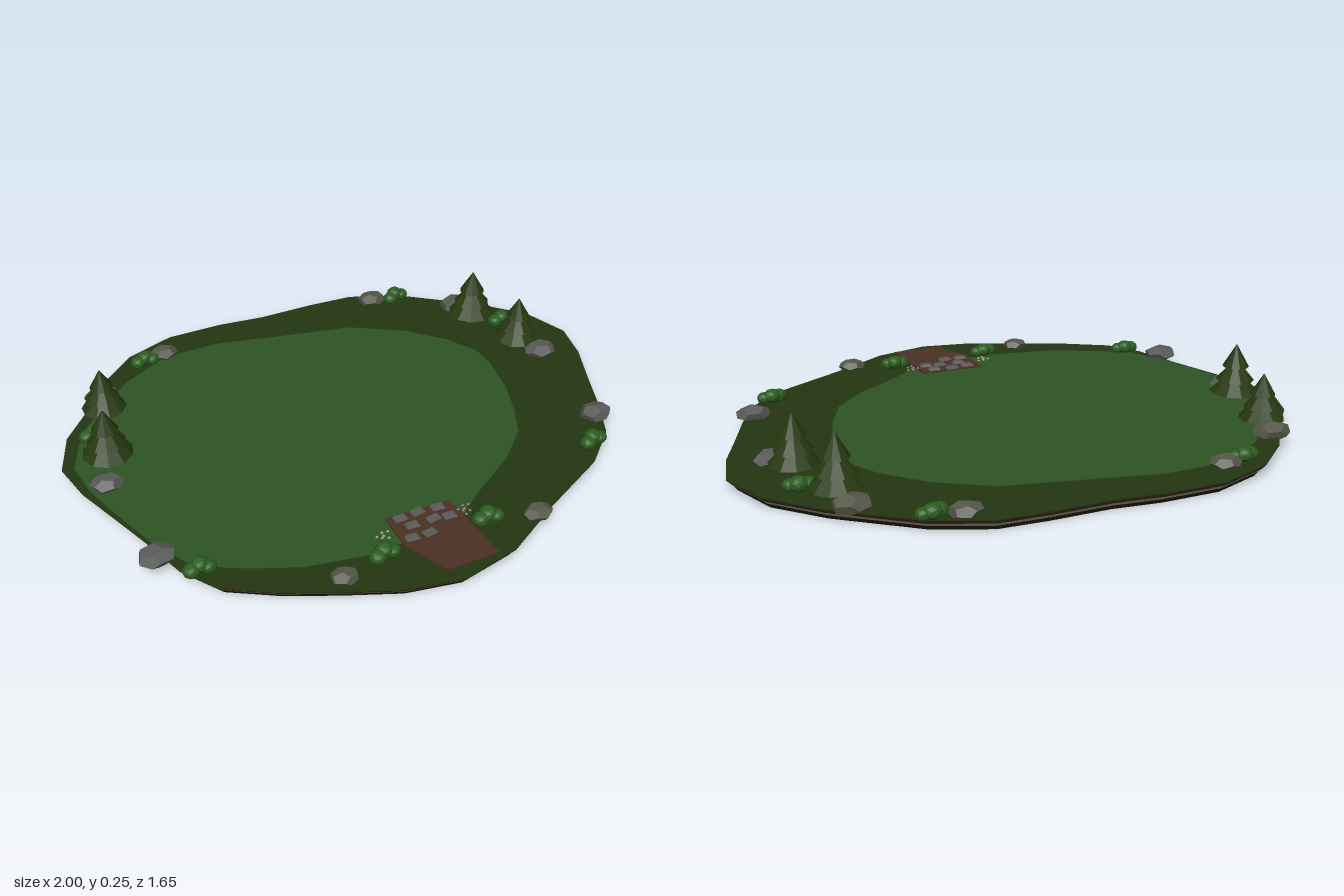
import * as THREE from 'three';

const mat = (name, color) => {
  const m = new THREE.MeshStandardMaterial({ color, flatShading: true });
  m.name = name;
  return m;
};

export function createModel() {
  const model = new THREE.Group();
  model.name = 'islandClearing';
  const M = {
    meadow: mat('meadowGreen', 0x2d5425),
    forest: mat('forestFloorGreen', 0x243611),
    soil: mat('soilBrown', 0x4a3224),
    sand: mat('sandstoneCream', 0xa89a80),
    bedrock: mat('bedrockDark', 0x1c1a10),
    pine: mat('pineGreen', 0x26380f),
    leaf: mat('bushGreen', 0x2a5c1e),
    rock: mat('rockGrey', 0x5a5a58),
    mossRock: mat('mossyRockGrey', 0x56584a),
    blossom: mat('blossomPink', 0x9a7078),
  };
  const add = (parent, name, geo, material, x = 0, y = 0, z = 0) => {
    const mesh = new THREE.Mesh(geo, material);
    mesh.name = name;
    mesh.position.set(x, y, z);
    parent.add(mesh);
    return mesh;
  };
  const group = (name, x, y, z) => {
    const g = new THREE.Group();
    g.name = name;
    g.position.set(x, y, z);
    model.add(g);
    return g;
  };

  // Shoreline and meadow outlines, as x, z pairs
  const shore = [[-0.41, -0.83], [-0.2, -0.83], [-0.03, -0.81], [0.18, -0.81], [0.35, -0.8], [0.54, -0.72],
    [0.79, -0.53], [0.935, -0.38], [1, -0.21], [0.97, -0.06], [0.91, 0.09], [0.845, 0.26], [0.78, 0.4],
    [0.65, 0.52], [0.4, 0.65], [0.18, 0.78], [-0.02, 0.825], [-0.21, 0.79], [-0.4, 0.71], [-0.57, 0.63],
    [-0.72, 0.54], [-0.8, 0.42], [-0.855, 0.25], [-0.91, 0.1], [-0.97, -0.06], [-1, -0.21], [-0.94, -0.37],
    [-0.83, -0.5], [-0.73, -0.64], [-0.59, -0.765]];
  const clearing = [[-0.26, -0.705], [-0.02, -0.65], [0.25, -0.59], [0.43, -0.48], [0.555, -0.35], [0.62, -0.235],
    [0.625, -0.14], [0.6, 0.015], [0.555, 0.15], [0.5, 0.27], [0.385, 0.38], [0.2, 0.5], [0.11, 0.57],
    [-0.07, 0.6], [-0.235, 0.61], [-0.45, 0.57], [-0.61, 0.5], [-0.755, 0.42], [-0.84, 0.26], [-0.9, 0.085],
    [-0.945, -0.06], [-0.96, -0.2], [-0.9, -0.34], [-0.8, -0.47], [-0.66, -0.6], [-0.5, -0.69], [-0.4, -0.705]];
  const path = [[-0.13, 0.485], [0.1, 0.49], [0.11, 0.62], [0.12, 0.775], [-0.06, 0.775], [-0.13, 0.62]];

  // Flat slab with its top facing up
  const slab = (pts, depth) => new THREE.ExtrudeGeometry(
    new THREE.Shape(pts.map(([x, z]) => new THREE.Vector2(x, -z))), { depth, bevelEnabled: false },
  ).rotateX(-Math.PI / 2);

  // Sloping band around the shoreline between two heights and scales
  const band = (s0, y0, s1, y1) => {
    const pos = [], index = [], n = shore.length;
    shore.forEach(([x, z]) => pos.push(x * s0, y0, z * s0, x * s1, y1, z * s1));
    for (let i = 0; i < n; i++) {
      const a = 2 * i, b = 2 * ((i + 1) % n);
      index.push(a, a + 1, b, b, a + 1, b + 1);
    }
    const g = new THREE.BufferGeometry();
    g.setAttribute('position', new THREE.Float32BufferAttribute(pos, 3));
    g.setIndex(index);
    g.computeVertexNormals();
    return g;
  };

  // Ground layers from the bottom up
  const under = new THREE.Shape(shore.map(([x, z]) => new THREE.Vector2(x * 0.965, z * 0.965)));
  add(model, 'underside', new THREE.ShapeGeometry(under).rotateX(Math.PI / 2), M.bedrock);
  add(model, 'bedrockLayer', band(0.965, 0, 0.975, 0.015), M.bedrock);
  add(model, 'sandstoneLayer', band(0.975, 0.015, 0.987, 0.027), M.sand);
  add(model, 'soilLayer', band(0.987, 0.027, 1, 0.041), M.soil);
  add(model, 'forestFloor', slab(shore, 0.004), M.forest, 0, 0.041, 0);
  add(model, 'meadow', slab(clearing, 0.003), M.meadow, 0, 0.0445, 0);
  add(model, 'path', slab(path, 0.009), M.soil, 0, 0.0445, 0);

  // Paving stones with bevelled tops
  [[-0.085, 0.505], [-0.02, 0.5], [0.05, 0.508], [-0.065, 0.55], [0.012, 0.55], [0.065, 0.56],
    [-0.092, 0.602], [-0.03, 0.604]].forEach(([x, z], i) => {
    const geo = new THREE.CylinderGeometry(0.02, 0.029, 0.009, 4, 1).rotateY(Math.PI / 4).scale(1.15, 1, 0.75);
    add(model, 'pavingStone', geo, M.rock, x, 0.057, z).rotation.y = 0.15 * Math.sin(i * 2);
  });

  // Pines: x, z, height scale
  [[-0.775, -0.465, 0.9], [-0.838, -0.203, 1], [0.72, -0.455, 1], [0.79, -0.225, 0.95]].forEach(([x, z, s], i) => {
    const g = group('pineTree', x, 0.044, z);
    g.scale.setScalar(s);
    g.rotation.y = i;
    add(g, 'trunk', new THREE.CylinderGeometry(0.012, 0.016, 0.06, 7), M.soil, 0, 0.03, 0);
    [[0.088, 0.03, 0.09], [0.068, 0.075, 0.08], [0.047, 0.125, 0.082]].forEach(([r, y, h]) => {
      add(g, 'branches', new THREE.ConeGeometry(r, h, 10), M.pine, 0, y + h / 2, 0);
    });
  });

  // Boulders: x, z, radius, mossy
  [[-0.47, -0.72, 0.052, 1], [-0.76, -0.55, 0.065, 1], [-0.885, -0.065, 0.055, 0], [-0.845, 0.335, 0.063, 0],
    [-0.36, 0.67, 0.046, 1], [0.33, 0.67, 0.049, 1], [0.8, 0.3, 0.058, 0], [0.835, -0.125, 0.06, 0],
    [0.705, -0.555, 0.063, 1], [0.415, -0.73, 0.054, 1]].forEach(([x, z, r, mossy], i) => {
    const geo = new THREE.DodecahedronGeometry(r).rotateY(i * 1.3).rotateX(0.4).scale(1.05, 0.5, 0.85);
    add(model, 'boulder', geo, mossy ? M.mossRock : M.rock, x, 0.057, z);
  });

  // Bushes, each of three leafy clumps
  [[-0.55, -0.702], [-0.85, -0.342], [-0.745, 0.445], [-0.205, 0.63], [0.17, 0.62], [0.7, 0.43],
    [0.81, -0.372], [0.51, -0.71]].forEach(([x, z], i) => {
    const g = group('bush', x, 0.062, z);
    g.rotation.y = 0.25 * Math.sin(i * 3);
    [[-0.026, -0.003, 0.006, 0.029], [0.004, 0.004, -0.006, 0.031], [0.029, -0.003, 0.005, 0.026]].forEach(([cx, cy, cz, r]) => {
      add(g, 'leafClump', new THREE.IcosahedronGeometry(r, 1).scale(1, 0.85, 0.95), M.leaf, cx, cy, cz);
    });
  });

  // Tiny flowers beside the path
  [[-0.17, 0.555, M.sand], [0.125, 0.55, M.blossom]].forEach(([x, z, m]) => {
    for (let i = 0; i < 7; i++) {
      const a = i * 2.4, r = 0.011 * Math.sqrt(i);
      add(model, 'flower', new THREE.OctahedronGeometry(0.006), m, x + r * Math.cos(a), 0.053, z + r * Math.sin(a));
    }
  });
  return model;
}
